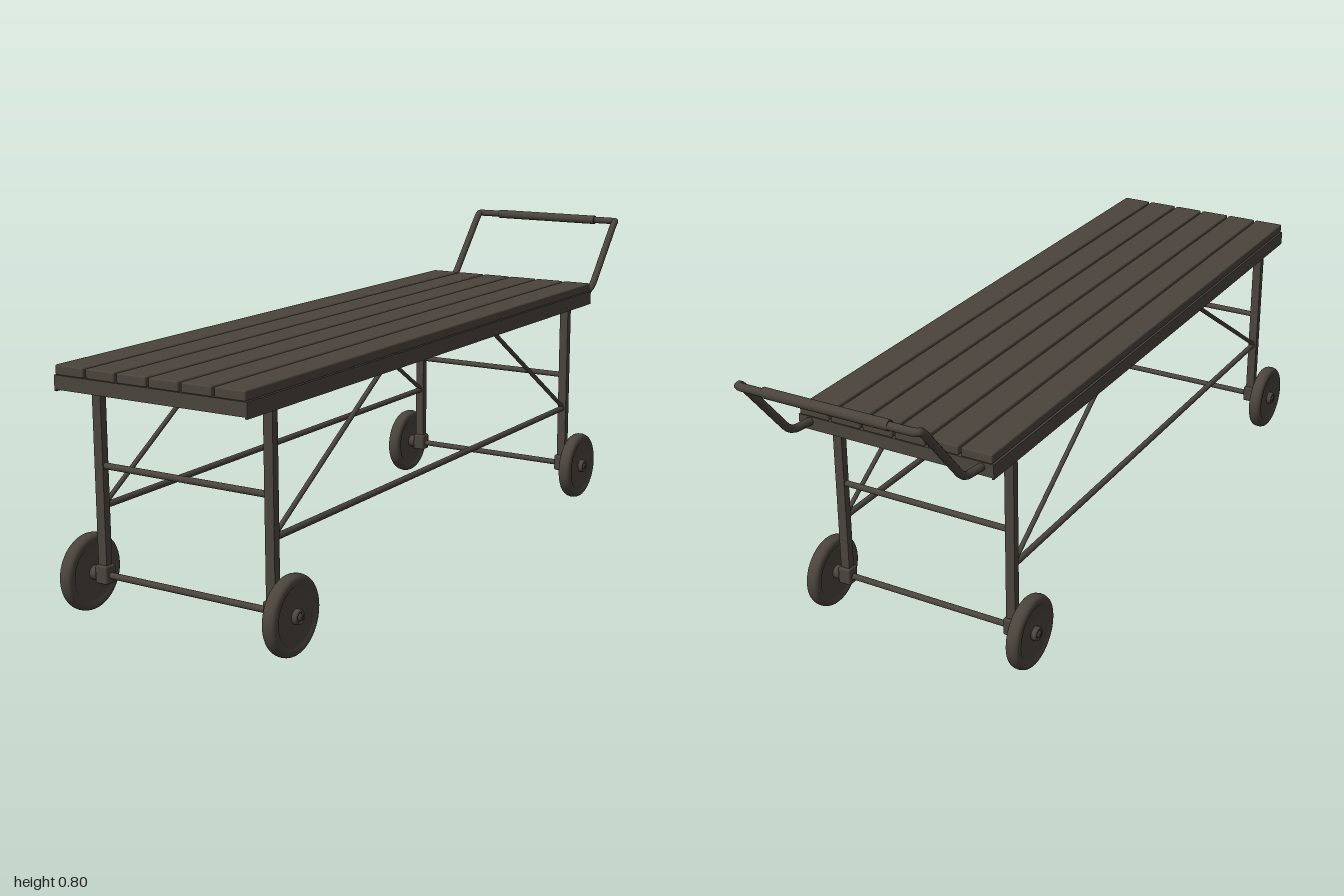
import * as THREE from 'three';
import { RoundedBoxGeometry } from 'three/addons/geometries/RoundedBoxGeometry.js';

export function createModel() {
  const group = new THREE.Group();
  const darkMetal = new THREE.MeshStandardMaterial({ color: 0x4a443c });
  darkMetal.name = 'dark brown';

  const add = (name, geometry, x = 0, y = 0, z = 0) => {
    const mesh = new THREE.Mesh(geometry, darkMetal);
    mesh.name = name;
    mesh.position.set(x, y, z);
    group.add(mesh);
    return mesh;
  };
  const box = (name, w, h, d, x, y, z) => add(name, new THREE.BoxGeometry(w, h, d), x, y, z);
  // Round bar between two points
  const bar = (name, a, b, r) => {
    const from = new THREE.Vector3(...a), to = new THREE.Vector3(...b);
    const dir = to.clone().sub(from);
    const mesh = add(name, new THREE.CylinderGeometry(r, r, dir.length(), 16));
    mesh.position.copy(from).add(to).multiplyScalar(0.5);
    mesh.quaternion.setFromUnitVectors(new THREE.Vector3(0, 1, 0), dir.normalize());
  };

  const back = -0.74, front = 1, mid = (back + front) / 2, length = front - back;
  const axles = [0.88, -0.62], braces = [0.41, -0.16];
  const legX = 0.244, axleY = 0.097;

  // Slatted deck
  for (let i = 0; i < 6; i++) {
    add('deckSlat', new RoundedBoxGeometry(0.083, 0.024, length, 2, 0.004), (i - 2.5) * 0.0898, 0.615, mid);
  }

  // Angle-iron frame under the deck
  for (const s of [-1, 1]) {
    box('sideRailFlange', 0.005, 0.038, length, s * 0.267, 0.584, mid);
    box('sideRailLedge', 0.036, 0.005, length, s * 0.249, 0.6005, mid);
  }
  for (const [z, s] of [[front, -1], [back, 1]]) {
    box('endRailFlange', 0.53, 0.034, 0.005, 0, 0.586, z + s * 0.0025);
    box('endRailLedge', 0.53, 0.005, 0.036, 0, 0.6005, z + s * 0.018);
  }
  for (const z of braces) {
    box('deckCrossBrace', 0.53, 0.006, 0.03, 0, 0.6, z);
    box('deckCrossBraceWeb', 0.53, 0.024, 0.005, 0, 0.587, z);
  }

  // Rubber wheel profile, revolved around its axle
  const tyre = new THREE.Shape();
  tyre.moveTo(0, -0.013).lineTo(0.068, -0.013).lineTo(0.074, -0.018).lineTo(0.083, -0.018);
  tyre.quadraticCurveTo(0.095, -0.017, 0.0955, 0);
  tyre.quadraticCurveTo(0.095, 0.017, 0.083, 0.018);
  tyre.lineTo(0.074, 0.018).lineTo(0.068, 0.013).lineTo(0, 0.013);
  const wheelGeometry = new THREE.LatheGeometry(tyre.getPoints(6), 40);
  const hub = [[0, -0.03], [0.013, -0.03], [0.018, -0.026], [0.018, 0.024], [0.016, 0.027],
    [0.012, 0.027], [0.011, 0.023], [0.0095, 0.023], [0.008, 0.029], [0, 0.029]];
  const hubGeometry = new THREE.LatheGeometry(hub.map(p => new THREE.Vector2(...p)), 24);

  for (const z of axles) {
    for (const s of [-1, 1]) {
      box('leg', 0.025, 0.5, 0.02, s * legX, 0.35, z);
      add('axleBlock', new RoundedBoxGeometry(0.036, 0.046, 0.036, 2, 0.005), s * legX, 0.1, z);
      add('wheel', wheelGeometry, s * 0.292, axleY, z).rotation.z = -s * Math.PI / 2;
      add('wheelHub', hubGeometry, s * 0.291, axleY, z).rotation.z = -s * Math.PI / 2;
    }
    bar('axle', [-0.3, axleY, z], [0.3, axleY, z], 0.008);
    bar('legCrossBar', [-legX, 0.367, z], [legX, 0.367, z], 0.008);
    box('deckEndBrace', 0.53, 0.005, 0.02, 0, 0.6, z);
  }

  // Long stretchers and diagonal stays
  for (const s of [-1, 1]) {
    const x = s * legX;
    bar('longStretcher', [x, 0.267, axles[1]], [x, 0.267, axles[0]], 0.008);
    axles.forEach((z, i) => bar('diagonalStay', [x, 0.267, z], [x, 0.588, braces[i] - (i ? -0.03 : 0.03)], 0.006));
  }

  // Bent push handle: straight runs joined by rounded corners
  const corners = [[-0.237, 0.587, -0.7], [-0.237, 0.598, -0.815], [-0.237, 0.785, -0.975], [-0.237, 0.786, -0.989],
    [0.237, 0.786, -0.989], [0.237, 0.785, -0.975], [0.237, 0.598, -0.815], [0.237, 0.587, -0.7]]
    .map(p => new THREE.Vector3(...p));
  const path = new THREE.CurvePath();
  let last = corners[0];
  for (let i = 1; i < corners.length - 1; i++) {
    const c = corners[i];
    const cut = q => {
      const d = q.clone().sub(c);
      return c.clone().addScaledVector(d, Math.min(0.03, d.length() * 0.45) / d.length());
    };
    const a = cut(corners[i - 1]), b = cut(corners[i + 1]);
    path.add(new THREE.LineCurve3(last, a));
    path.add(new THREE.QuadraticBezierCurve3(a, c, b));
    last = b;
  }
  path.add(new THREE.LineCurve3(last, corners.at(-1)));
  add('pushHandle', new THREE.TubeGeometry(path, 240, 0.01, 12));
  bar('handleGrip', [-0.166, 0.786, -0.987], [0.166, 0.786, -0.987], 0.013);

  return group;
}
